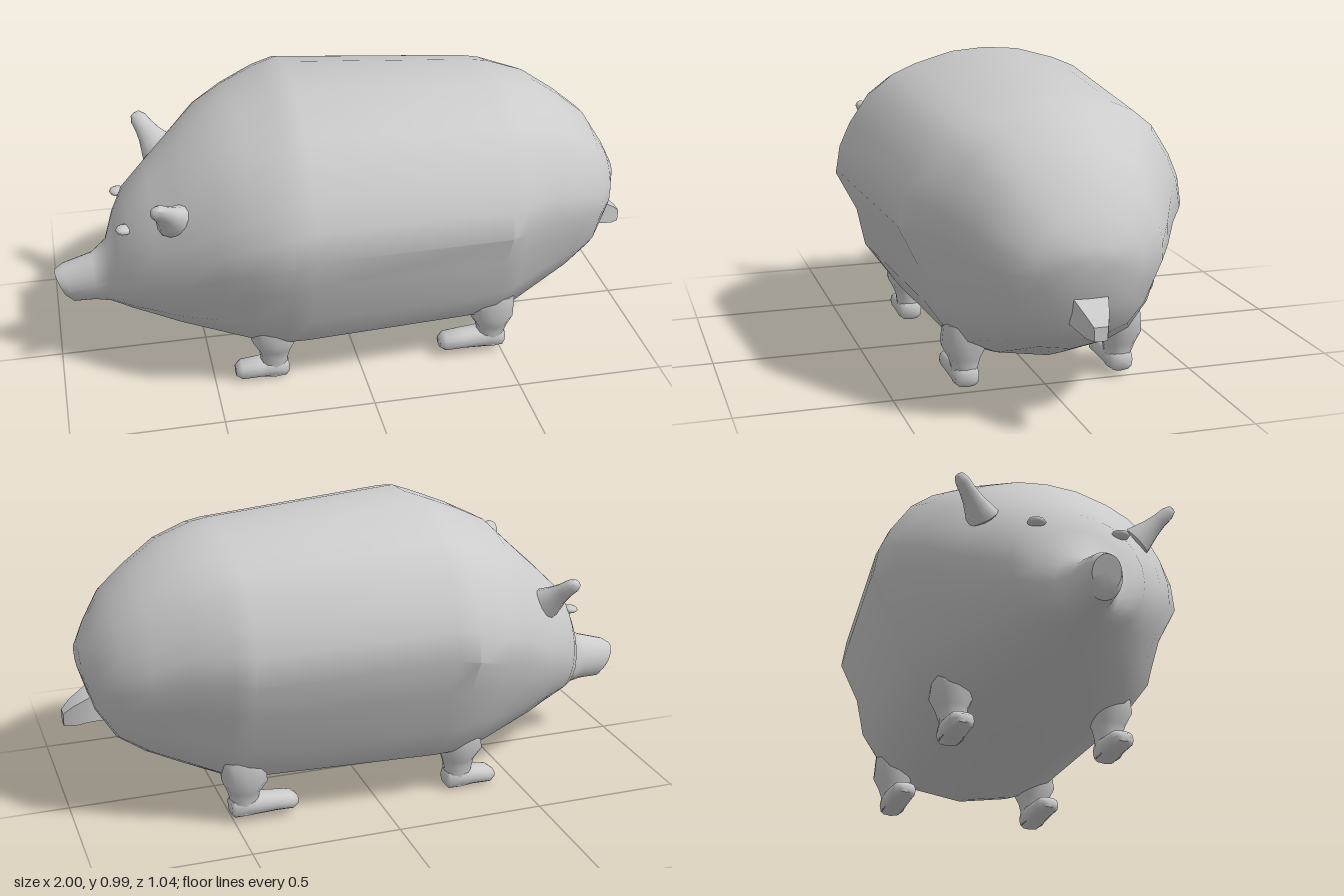
import * as THREE from 'three';
import { toCreasedNormals } from 'three/addons/utils/BufferGeometryUtils.js';

const material = new THREE.MeshStandardMaterial({ color: 0xcccccc });

// Skin a list of equal-length rings of [x, y, z] points, closing both ends
function loft(rings, crease = 0.7) {
  const n = rings[0].length;
  const index = [];
  const pos = rings.flat(2);
  for (let i = 0; i < rings.length - 1; i++) {
    for (let j = 0; j < n; j++) {
      const a = i * n + j, b = i * n + (j + 1) % n;
      index.push(a, b, a + n, b, b + n, a + n);
    }
  }
  [0, rings.length - 1].forEach((r, end) => {
    const c = pos.length / 3;
    for (let k = 0; k < 3; k++) pos.push(rings[r].reduce((s, p) => s + p[k], 0) / n);
    for (let j = 0; j < n; j++) {
      const a = r * n + j, b = r * n + (j + 1) % n;
      if (end) index.push(c, a, b);
      else index.push(c, b, a);
    }
  });
  const g = new THREE.BufferGeometry();
  g.setAttribute('position', new THREE.Float32BufferAttribute(pos, 3));
  g.setIndex(index);
  return toCreasedNormals(g, crease);
}

function add(parent, name, geometry) {
  const mesh = new THREE.Mesh(geometry, material);
  mesh.name = name;
  parent.add(mesh);
  return mesh;
}

// Half section of the barrel, top to belly: [width share, height share]
const barrel = [
  [0, 1], [0.23, 0.99], [0.48, 0.95], [0.635, 0.913], [0.77, 0.853], [0.9, 0.74], [0.97, 0.65],
  [1, 0.543], [0.865, 0.39], [0.81, 0.24], [0.62, 0.087], [0.385, 0.033], [0, 0],
];

// Ring across x; round blends from the barrel section (0) to an ellipse (1)
function bodyRing([x, top, bottom, width, round, lean = 0]) {
  const half = barrel.map(([w, t], j) => {
    const a = (j / (barrel.length - 1)) * Math.PI;
    const z = THREE.MathUtils.lerp(w, Math.sin(a), round) * width;
    const h = THREE.MathUtils.lerp(t, (1 + Math.cos(a)) / 2, round);
    return [x + lean * (0.5 - h), bottom + (top - bottom) * h, z];
  });
  const other = half.slice(1, -1).reverse().map(([px, py, pz]) => [px, py, -pz]);
  return [...half, ...other];
}

// Stations from snout to rump: x, top, bottom, half width, roundness, lean
const stations = [
  [-0.98, 0.34, 0.24, 0.045, 1, 0.04],
  [-0.955, 0.36, 0.22, 0.058, 1, 0.03],
  [-0.87, 0.39, 0.22, 0.07, 1],
  [-0.82, 0.43, 0.215, 0.1, 1],
  [-0.79, 0.525, 0.21, 0.155, 1],
  [-0.75, 0.605, 0.2, 0.215, 0.9],
  [-0.67, 0.685, 0.175, 0.275, 0.75],
  [-0.6, 0.75, 0.155, 0.335, 0.6],
  [-0.48, 0.865, 0.127, 0.42, 0.35],
  [-0.38, 0.915, 0.105, 0.48, 0.15],
  [-0.26, 0.965, 0.085, 0.52, 0],
  [-0.19, 0.992, 0.078, 0.515, 0],
  [0.46, 0.945, 0.092, 0.47, 0],
  [0.52, 0.938, 0.105, 0.44, 0],
  [0.64, 0.9, 0.155, 0.37, 0.1],
  [0.75, 0.825, 0.205, 0.31, 0.3],
  [0.84, 0.75, 0.265, 0.255, 0.5],
  [0.9, 0.655, 0.365, 0.17, 0.7],
  [0.94, 0.58, 0.5, 0.07, 1],
];

// Rounded-square ring factors
const squarish = (a) => [Math.cos(a), Math.sin(a)].map((v) => Math.sign(v) * Math.abs(v) ** 0.7);
const angles = Array.from({ length: 12 }, (_, i) => (i / 12) * Math.PI * 2);
const ringX = ([x, y0, y1, z, w]) => angles.map((a) => {
  const [c, s] = squarish(a);
  return [x, (y0 + y1) / 2 + (c * (y1 - y0)) / 2, z + s * w];
});
const ringY = ([y, x0, x1, z, w]) => angles.map((a) => {
  const [c, s] = squarish(a);
  return [(x0 + x1) / 2 + (s * (x1 - x0)) / 2, y, z + c * w];
});

// Shank flaring into the belly, with a forward-pointing foot
function leg(name, side, heel, toe, ground) {
  const g = new THREE.Group();
  g.name = name;
  add(g, 'shank', loft([
    [ground + 0.01, heel - 0.085, heel - 0.005, 0.26, 0.038],
    [0.08, heel - 0.095, heel, 0.26, 0.042],
    [0.11, heel - 0.1, heel + 0.008, 0.262, 0.05],
    [0.15, heel - 0.125, heel + 0.025, 0.262, 0.07],
    [0.23, heel - 0.12, heel + 0.03, 0.25, 0.075],
  ].map(([y, a, b, z, w]) => ringY([y, a, b, z * side, w])), 1));
  add(g, 'foot', loft([
    [toe, ground + 0.015, ground + 0.042, 0.26, 0.024],
    [toe + 0.02, ground + 0.003, ground + 0.058, 0.26, 0.04],
    [toe + 0.08, ground + 0.005, ground + 0.064, 0.26, 0.042],
    [heel - 0.05, ground, ground + 0.075, 0.26, 0.042],
    [heel - 0.01, ground, ground + 0.07, 0.26, 0.04],
    [heel, ground + 0.012, ground + 0.06, 0.26, 0.03],
  ].map(([x, a, b, z, w]) => ringX([x, a, b, z * side, w])), 1));
  return g;
}

// Blunt horn-shaped ear, wide at the head
function ear(parent, name, side) {
  const profile = [[0, -0.01], [0.045, -0.01], [0.068, 0], [0.056, 0.03], [0.042, 0.065],
    [0.033, 0.1], [0.029, 0.135], [0.018, 0.155], [0, 0.16]].map(([r, y]) => new THREE.Vector2(r, y));
  const geometry = new THREE.LatheGeometry(profile, 12);
  geometry.scale(1, 1, 0.75);
  const mesh = add(parent, name, toCreasedNormals(geometry, 0.9));
  mesh.position.set(-0.6, 0.63, 0.255 * side);
  const axis = new THREE.Vector3(-0.065, 0.09, 0.09 * side).normalize();
  mesh.quaternion.setFromUnitVectors(new THREE.Vector3(0, 1, 0), axis);
}

export function createModel() {
  const model = new THREE.Group();
  model.name = 'pig';
  add(model, 'body', loft(stations.map(bodyRing)));

  for (const side of [1, -1]) {
    const label = side > 0 ? 'near' : 'far';
    model.add(leg(`${label}FrontLeg`, side, -0.25, -0.43, 0));
    model.add(leg(`${label}HindLeg`, side, 0.51, 0.28, 0.018));
    ear(model, `${label}Ear`, side);
    // Brow-like eyelid
    const lid = add(model, `${label}Eyelid`, new THREE.SphereGeometry(1, 10, 6));
    lid.scale.set(0.028, 0.013, 0.03);
    lid.position.set(-0.762, 0.548, 0.135 * side);
  }

  // Short tapered square tail
  const tailRing = ([x, top, bottom, wTop, wBottom]) => [
    [x, top, -wTop], [x, top, wTop], [x, bottom, wBottom], [x, bottom, -wBottom],
  ];
  add(model, 'tail', loft([
    [0.86, 0.43, 0.33, 0.055, 0.055],
    [0.915, 0.415, 0.328, 0.053, 0.052],
    [0.97, 0.382, 0.313, 0.036, 0.034],
    [1.0, 0.355, 0.312, 0.022, 0.02],
  ].map(tailRing), 0.5));
  return model;
}
